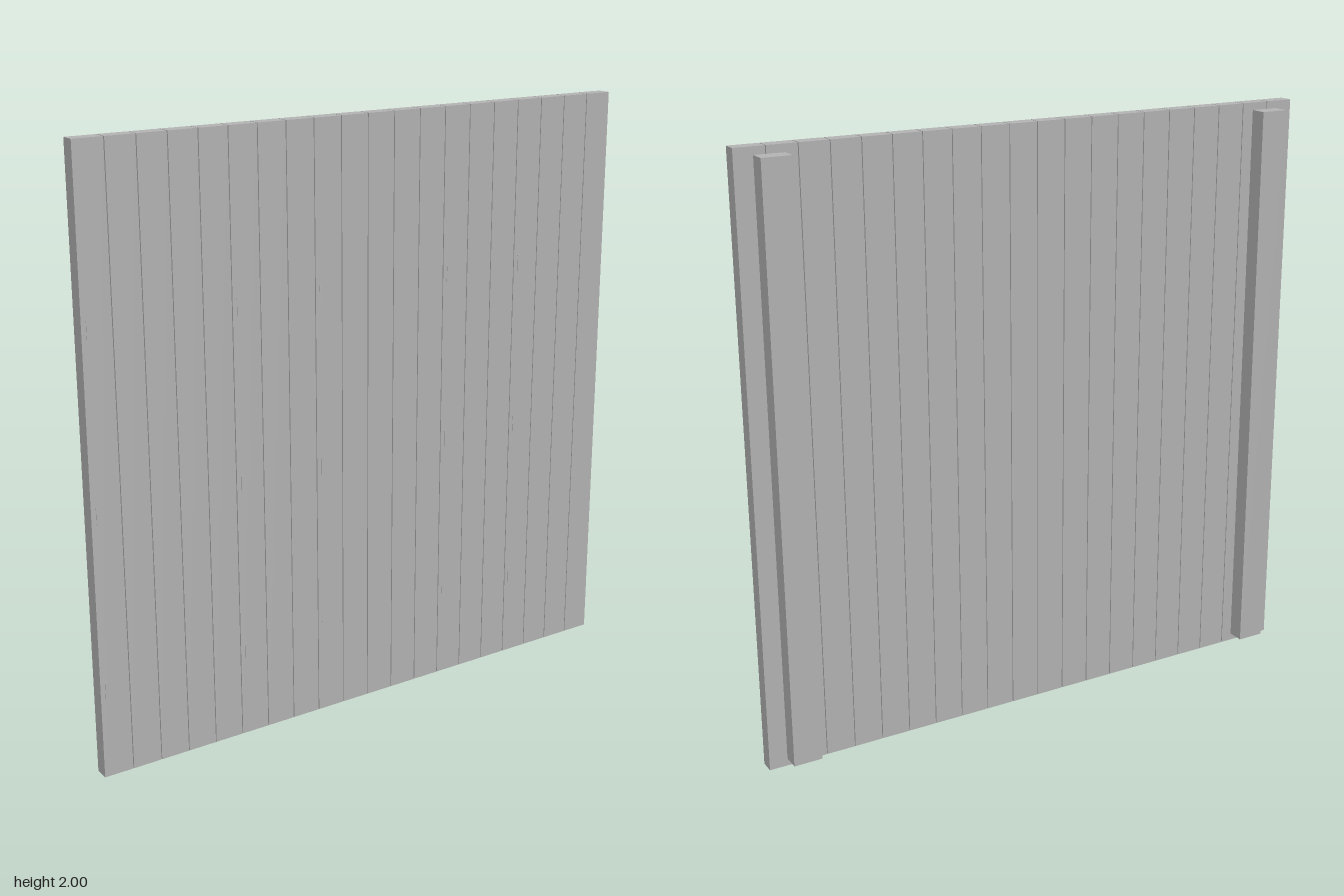
import * as THREE from 'three';

export function createModel() {
  const root = new THREE.Group();
  root.name = 'plankPanel';
  const grey = new THREE.MeshStandardMaterial({ color: 0xb2b2b2 });
  grey.name = 'plainGrey';

  const box = (name, w, h, d, x, y, z) => {
    const mesh = new THREE.Mesh(new THREE.BoxGeometry(w, h, d), grey);
    mesh.name = name;
    mesh.position.set(x, y, z);
    root.add(mesh);
  };

  // Twenty upright planks separated by narrow gaps
  const count = 20, pitch = 0.1, gap = 0.003;
  for (let i = 0; i < count; i++) {
    const left = i === 0 ? 0 : gap / 2;
    const right = i === count - 1 ? 0 : gap / 2;
    const x = -1 + (i + 0.5) * pitch + (left - right) / 2;
    box('plank', pitch - left - right, 2, 0.049, x, 1, 0.0285);
  }

  // Two battens behind the planks, just short of full height
  for (const side of [-1, 1]) {
    box('batten', 0.097, 1.95, 0.058, side * 0.89, 1, -0.025);
  }

  // Slim fixing plates standing just proud of the front
  for (const y of [0.3, 0.875, 1.45]) {
    for (const i of [0, 5, 8, 13, 16]) {
      box('fixingPlate', 0.008, 0.055, 0.004, -1 + i * pitch + 0.02, y, 0.053);
    }
  }
  return root;
}
